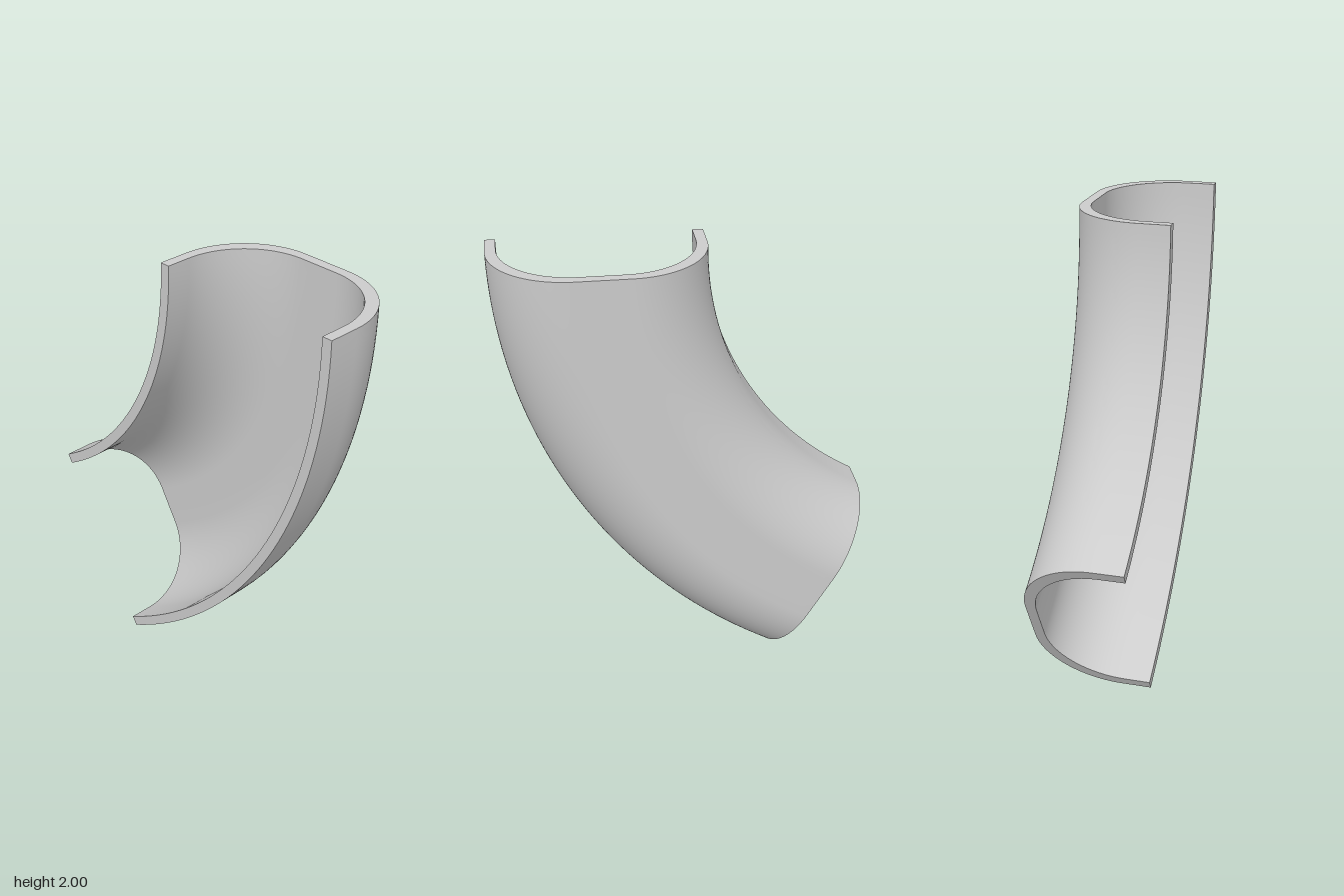
import * as THREE from 'three';
import { toCreasedNormals } from 'three/addons/utils/BufferGeometryUtils.js';

const OUTER = 2.309;          // bend radius of the outer side
const WIDTH = 0.9, WALL = 0.045, DEPTH = 0.47;
const INNER = OUTER - WIDTH;
const SWEEP = Math.PI / 3;
const CENTRE_X = 0.802 - OUTER; // bend axis

// Rounded U-shaped channel section: x = distance from the bend axis, y = depth
function channelSection() {
  const front = DEPTH / 2, back = -DEPTH / 2;
  const R = 0.338, r = 0.315;
  const a = INNER, b = OUTER, c = INNER + WALL, d = OUTER - WALL, floor = back + WALL;
  const s = new THREE.Shape();
  s.moveTo(a, front);
  s.lineTo(a, back + R);
  s.absarc(a + R, back + R, R, Math.PI, Math.PI * 1.5, false);
  s.lineTo(b - R, back);
  s.absarc(b - R, back + R, R, Math.PI * 1.5, Math.PI * 2, false);
  s.lineTo(b, front);
  s.lineTo(d, front);
  s.lineTo(d, floor + r);
  s.absarc(d - r, floor + r, r, 0, -Math.PI / 2, true);
  s.lineTo(c + r, floor);
  s.absarc(c + r, floor + r, r, -Math.PI / 2, -Math.PI, true);
  s.lineTo(c, front);
  s.closePath();
  return s;
}

export function createModel() {
  const group = new THREE.Group();
  group.name = 'curvedChannel';

  // Extrude the section along the sweep angle, then wrap it around the bend axis
  const geo = new THREE.ExtrudeGeometry(channelSection(), {
    depth: SWEEP, steps: 40, curveSegments: 14, bevelEnabled: false,
  });
  const p = geo.attributes.position;
  for (let i = 0; i < p.count; i++) {
    const radius = p.getX(i), depth = p.getY(i), angle = p.getZ(i);
    p.setXYZ(i, CENTRE_X + radius * Math.cos(angle), 2 - radius * Math.sin(angle), depth);
  }

  const bend = new THREE.Mesh(
    toCreasedNormals(geo, 0.5),
    new THREE.MeshStandardMaterial({ color: 0xcccccc }),
  );
  bend.name = 'channelBend';
  group.add(bend);
  return group;
}
